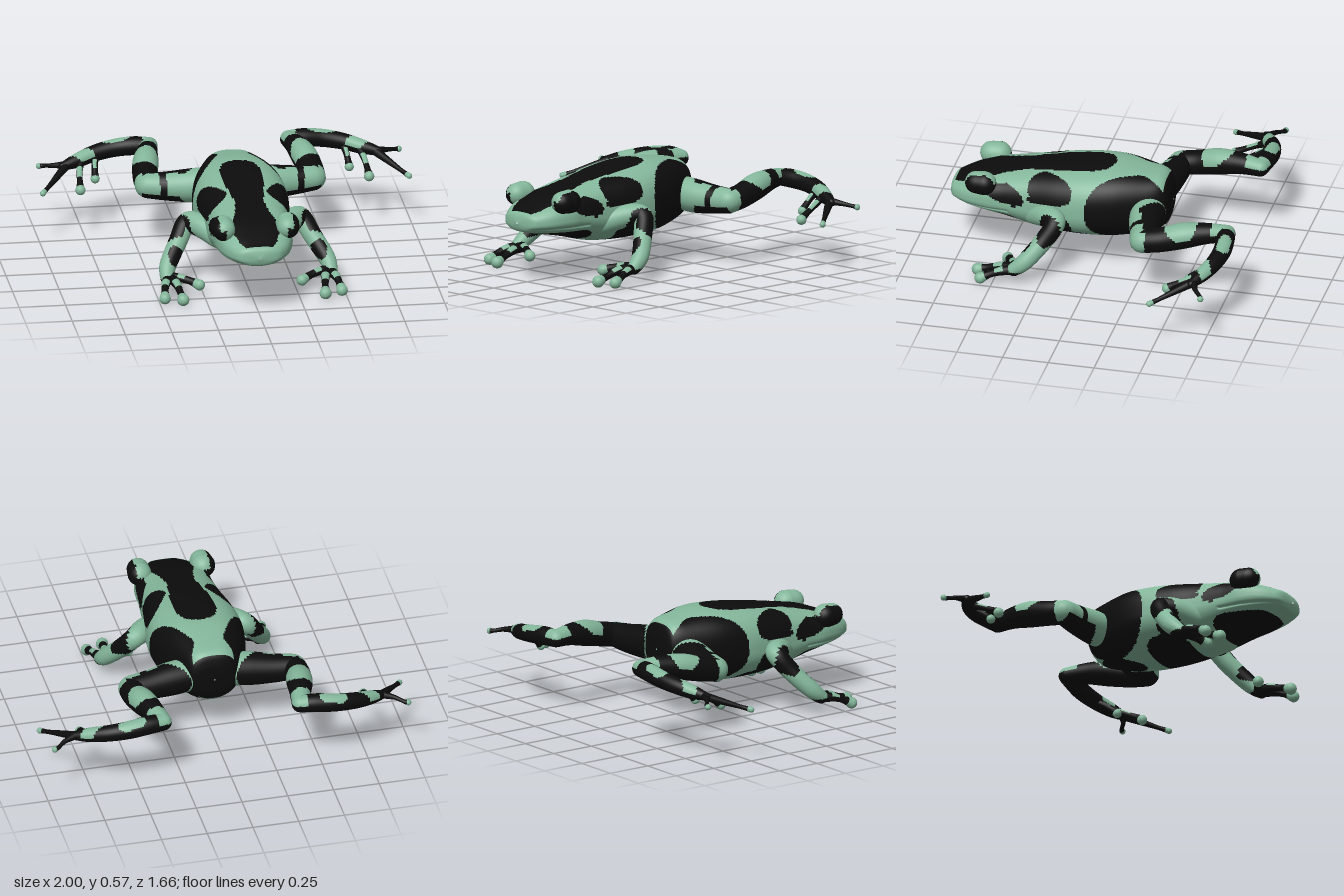
import * as THREE from 'three';

const skinGreen = new THREE.MeshStandardMaterial({ color: 0x84b79b });
skinGreen.name = 'skin green';
const spotBlack = new THREE.MeshStandardMaterial({ color: 0x0b0c0b });
spotBlack.name = 'spot black';

const oval = (u, v, cu, cv, ru, rv, n = 2) =>
  Math.abs((u - cu) / ru) ** n + Math.abs((v - cv) / rv) ** n < 1;

// Smooth interpolation through rows of numbers, t from 0 to 1
function spline(rows, t) {
  const last = rows.length - 1;
  const f = THREE.MathUtils.clamp(t, 0, 1) * last;
  const i = Math.min(Math.floor(f), last - 1), k = f - i;
  const [a, b, c, d] = [-1, 0, 1, 2].map(o => rows[THREE.MathUtils.clamp(i + o, 0, last)]);
  return b.map((_, j) => b[j] + 0.5 * k * (c[j] - a[j] +
    k * (2 * a[j] - 5 * b[j] + 4 * c[j] - d[j] + k * (3 * (b[j] - c[j]) + d[j] - a[j]))));
}

// Closed rings of points joined into a skin; isBlack(point, normal, t) picks the colour of each quad
function skin(name, rings, sides, surface, isBlack, mirror = 1) {
  const pos = [], green = [], black = [];
  for (let i = 0; i <= rings; i++)
    for (let j = 0; j < sides; j++) pos.push(surface(i, (j / sides) * Math.PI * 2));
  for (let i = 0; i < rings; i++) {
    for (let j = 0; j < sides; j++) {
      const a = i * sides + j, b = a + sides;
      const c = i * sides + ((j + 1) % sides), d = c + sides;
      const mid = pos[a].clone().add(pos[b]).add(pos[c]).add(pos[d]).multiplyScalar(0.25);
      const normal = pos[d].clone().sub(pos[a]).cross(pos[c].clone().sub(pos[b])).normalize();
      const list = isBlack(mid, normal, i / rings) ? black : green;
      list.push(...(mirror > 0 ? [a, b, c, b, d, c] : [a, c, b, b, c, d]));
    }
  }
  const geo = new THREE.BufferGeometry();
  const flat = pos.flatMap(p => [p.x * mirror, p.y, p.z]);
  geo.setAttribute('position', new THREE.Float32BufferAttribute(flat, 3));
  geo.setIndex([...green, ...black]);
  geo.addGroup(0, green.length, 0);
  geo.addGroup(green.length, black.length, 1);
  geo.computeVertexNormals();
  const mesh = new THREE.Mesh(geo, [skinGreen, spotBlack]);
  mesh.name = name;
  return mesh;
}

// Round-ended limb through rows of [x, y, z, radius]
function limb(name, rows, isBlack, mirror, rings = 60, sides = 32) {
  const cap = 6, up = new THREE.Vector3(0, 1, 0);
  const at = t => new THREE.Vector3(...spline(rows, t).slice(0, 3));
  const surface = (i, a) => {
    const t = THREE.MathUtils.clamp((i - cap) / (rings - 2 * cap), 0, 1);
    const r = spline(rows, t)[3];
    const over = i < cap ? i / cap - 1 : i > rings - cap ? (i - rings + cap) / cap : 0;
    const bend = over * Math.PI / 2;
    const dir = at(t + 0.01).sub(at(t - 0.01)).normalize();
    const side = dir.clone().cross(up).normalize();
    const rise = side.clone().cross(dir);
    const rad = r * Math.cos(bend);
    return at(t).addScaledVector(dir, r * Math.sin(bend))
      .addScaledVector(side, rad * Math.cos(a)).addScaledVector(rise, rad * Math.sin(a));
  };
  return skin(name, rings, sides, surface, isBlack, mirror);
}

// Body stations: [z, half width, top, bottom]
const bodyRows = [
  [-0.38, 0.005, 0.385, 0.375], [-0.372, 0.1, 0.47, 0.29], [-0.34, 0.14, 0.53, 0.235],
  [-0.25, 0.185, 0.55, 0.2], [-0.1, 0.235, 0.568, 0.17], [0.05, 0.255, 0.56, 0.163],
  [0.2, 0.245, 0.542, 0.165], [0.35, 0.222, 0.517, 0.18], [0.5, 0.208, 0.487, 0.218],
  [0.6, 0.205, 0.465, 0.24], [0.7, 0.18, 0.428, 0.26], [0.77, 0.14, 0.398, 0.275],
  [0.81, 0.095, 0.378, 0.288], [0.825, 0.005, 0.335, 0.325],
];
const bodyRings = 230;

// Half width of the dark stripe along the back: [z, half width]
const stripe = [[-0.075, 0], [-0.065, 0.045], [-0.04, 0.08], [0.0, 0.102], [0.08, 0.114], [0.2, 0.106],
  [0.3, 0.09], [0.4, 0.078], [0.5, 0.09], [0.6, 0.122], [0.68, 0.122], [0.75, 0.1], [0.795, 0.07]];
function stripeWidth(z) {
  const i = stripe.findIndex(([end]) => z < end);
  if (i < 1) return 0;
  const [z0, w0] = stripe[i - 1], [z1, w1] = stripe[i];
  return w0 + (w1 - w0) * (z - z0) / (z1 - z0);
}

function bodySurface(i, a) {
  const [z, w, top, bottom] = spline(bodyRows, i / bodyRings);
  const middle = bottom + (top - bottom) * 0.45;
  const c = Math.cos(a), s = Math.sin(a);
  const power = s > 0 ? 2 / 2.8 : 2 / 2.1;
  const y = middle + Math.sign(s) * Math.abs(s) ** power * (s > 0 ? top - middle : middle - bottom);
  // shallow groove for the mouth
  const mouth = z > 0.48 ? 0.045 * Math.exp(-(((y - 0.302) / 0.006) ** 2)) : 0;
  return new THREE.Vector3(-Math.sign(c) * Math.abs(c) ** power * w * (1 - mouth), y, z);
}

function bodyIsBlack({ x, y, z }) {
  const ax = Math.abs(x);
  if (z < -0.352 && y > 0.25 && y < 0.52) return true;                  // rump
  if (y > 0.365 && ax < stripeWidth(z)) return true;                    // back stripe
  if (ax > 0.07 && oval(z, y, -0.165, 0.372, 0.21, 0.178, 2.5)) return true;  // flank
  if (oval(z, y, 0.245, 0.455, 0.125, 0.066, 2.4)) return ax > 0.1;     // shoulder spot
  if (oval(z, y, 0.31, 0.4, 0.06, 0.02)) return true;
  if (oval(z, y, 0.2, 0.255, 0.075, 0.085)) return true;                // armpit
  if (oval(z, y, 0.135, 0.165, 0.125, 0.06, 2.4)) return true;          // chest
  if (y < 0.3 && oval(x, z, 0, -0.2, 0.09, 0.13)) return true;          // belly
  if (ax > 0.165 && oval(z, y + 0.25 * (0.5 - z), 0.5, 0.405, 0.11, 0.052, 2.4)) return true; // cheek
  return y < 0.274 && oval(z, y, 0.6, 0.225, 0.175, 0.055, 2.6);        // chin
}

const thighRows = [[0.1, 0.37, -0.275, 0.09], [0.22, 0.36, -0.285, 0.09], [0.34, 0.355, -0.305, 0.078],
  [0.44, 0.357, -0.318, 0.068]];
const shinRows = [[0.447, 0.357, -0.32, 0.065], [0.445, 0.375, -0.42, 0.066], [0.425, 0.405, -0.54, 0.07],
  [0.4, 0.42, -0.66, 0.057], [0.375, 0.42, -0.765, 0.046]];
const footRows = [[0.375, 0.42, -0.765, 0.046], [0.46, 0.42, -0.775, 0.05], [0.56, 0.41, -0.782, 0.048],
  [0.67, 0.392, -0.762, 0.044], [0.77, 0.37, -0.72, 0.038], [0.85, 0.355, -0.685, 0.022]];
const armRows = [[0.16, 0.29, 0.34, 0.06], [0.24, 0.325, 0.25, 0.062], [0.305, 0.325, 0.19, 0.054],
  [0.36, 0.24, 0.24, 0.05], [0.425, 0.14, 0.325, 0.046], [0.44, 0.09, 0.385, 0.036]];

// Toes and fingers: thin digits ending in a round pad
const toes = [
  [[0.83, 0.36, -0.69, 0.022], [0.9, 0.35, -0.72, 0.013], [0.945, 0.338, -0.755, 0.011], [0.965, 0.335, -0.762, 0.017]],
  [[0.83, 0.355, -0.69, 0.024], [0.89, 0.325, -0.61, 0.018], [0.95, 0.295, -0.53, 0.012], [0.983, 0.28, -0.487, 0.016]],
  [[0.75, 0.365, -0.71, 0.022], [0.765, 0.33, -0.64, 0.016], [0.772, 0.295, -0.57, 0.017], [0.775, 0.272, -0.535, 0.028]],
  [[0.665, 0.38, -0.75, 0.022], [0.675, 0.35, -0.7, 0.017], [0.68, 0.315, -0.655, 0.018], [0.682, 0.295, -0.635, 0.025]],
];
const fingers = [
  [[0.43, 0.085, 0.38, 0.03], [0.455, 0.08, 0.45, 0.024], [0.468, 0.06, 0.51, 0.019], [0.475, 0.036, 0.56, 0.031]],
  [[0.42, 0.085, 0.38, 0.03], [0.4, 0.08, 0.46, 0.024], [0.388, 0.055, 0.54, 0.018], [0.382, 0.036, 0.595, 0.033]],
  [[0.43, 0.09, 0.38, 0.028], [0.375, 0.09, 0.4, 0.023], [0.32, 0.08, 0.43, 0.02], [0.276, 0.066, 0.457, 0.03]],
];

// Colour rules for the limbs: true where the skin is black
const eyeIsBlack = p => p.x > 0.198 || (p.x > 0.165 && p.y < 0.45);
const thighIsBlack = (p, n) => p.x > 0.11 + 1.1 * (p.z + 0.38) && n.x < 0.6 &&
  ((n.y < -0.35 && p.x > 0.2) || p.z < -0.258 - 0.35 * Math.max(0, p.x - 0.25) || Math.abs(p.x - 0.37) < 0.018);
const shinIsBlack = (p, n) => {
  if (p.z > -0.345 && (n.x > 0.4 || n.z > 0.5)) return false;            // knee
  if (p.z < -0.69 && n.y > 0.15) return false;                           // ankle
  return n.y < 0 || !oval(p.x, p.z, 0.428, -0.525, 0.073, 0.088, 2.6);   // calf patch
};
const footIsBlack = (p, n) => {
  if (p.x < 0.41) return n.y < 0.15;
  return n.y < 0 || !(oval(p.x, p.z, 0.55, -0.79, 0.075, 0.034, 2.6) ||
    oval(p.x, p.z + 0.45 * (p.x - 0.74), 0.74, -0.72, 0.09, 0.042, 2.4));
};
const armIsBlack = (p, n) => p.y < 0.085 ||
  (n.x > -0.2 && oval(p.z, p.y, 0.215, 0.3, 0.065, 0.075)) ||
  (n.z > 0 && oval(p.x, p.y, 0.385, 0.19, 0.04, 0.05));

export function createModel() {
  const frog = new THREE.Group();
  frog.name = 'frog';
  frog.add(skin('body', bodyRings, 160, bodySurface, bodyIsBlack));

  for (const [side, m] of [['left', 1], ['right', -1]]) {
    const add = (part, rows, rule, rings, sides) => frog.add(limb(side + part, rows, rule, m, rings, sides));
    add('Eye', [[0.174, 0.442, 0.61, 0.064], [0.172, 0.442, 0.655, 0.06]], eyeIsBlack, 40, 40);
    add('Thigh', thighRows, thighIsBlack);
    add('Shin', shinRows, shinIsBlack);
    add('Foot', footRows, footIsBlack);
    add('Arm', armRows, armIsBlack);
    toes.forEach((rows, i) =>
      add('Toe' + (i + 1), rows, (p, n, t) => t < 0.72 && !(i > 1 && n.y > 0.5 && t > 0.3 && t < 0.5), 36, 14));
    fingers.forEach((rows, i) =>
      add('Finger' + (i + 1), rows, (p, n, t) => t < 0.68 && !(n.y > 0.4 && t > 0.36 && t < 0.48), 36, 16));
  }
  return frog;
}
